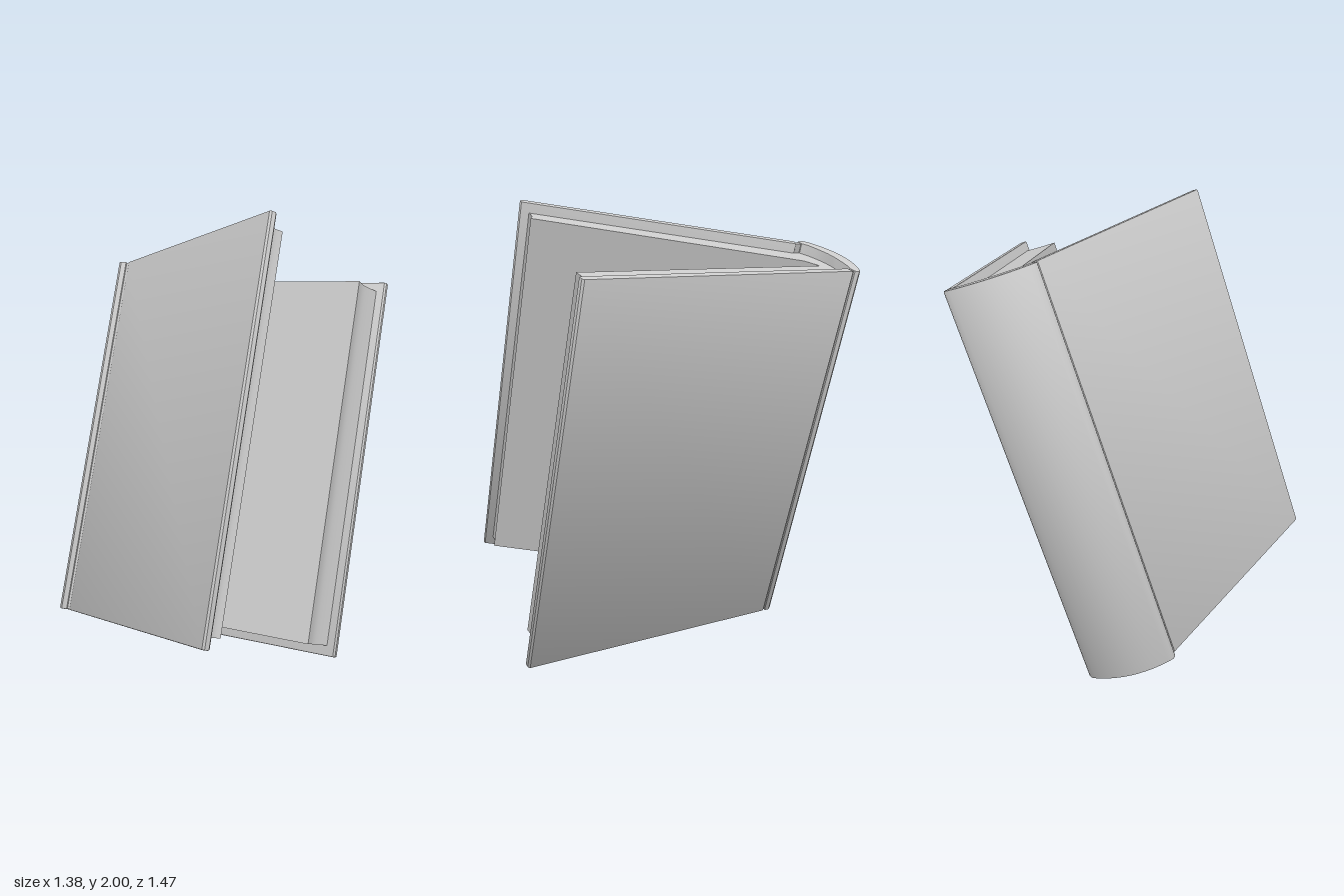
import * as THREE from 'three';
import { toCreasedNormals } from 'three/addons/utils/BufferGeometryUtils.js';

const TILT = -0.313;             // the whole book leans back
const BOTTOM = 0.061, TOP = 1.85; // extent of the boards along the spine

export function createModel() {
  const book = new THREE.Group();
  book.name = 'openBook';
  book.rotation.x = TILT;
  const material = new THREE.MeshStandardMaterial({ color: 0xcccccc });

  // Extrudes a plan outline of [x, z] points upward from y0 to y1
  function addPart(name, points, y0, y1, bevel = 0) {
    const shape = new THREE.Shape(points.map(([x, z]) => new THREE.Vector2(x, -z)));
    let geometry = new THREE.ExtrudeGeometry(shape, {
      depth: y1 - y0 - 2 * bevel,
      bevelEnabled: bevel > 0,
      bevelThickness: bevel,
      bevelSize: bevel,
      bevelOffset: -bevel,
      bevelSegments: 2,
    });
    geometry.rotateX(-Math.PI / 2);
    geometry.translate(0, y0 + bevel, 0);
    geometry = toCreasedNormals(geometry, 0.6);
    const mesh = new THREE.Mesh(geometry, material);
    mesh.name = name;
    book.add(mesh);
  }

  // Smooth curve through a few plan points
  const smooth = (points, n) =>
    new THREE.SplineCurve(points.map(([x, z]) => new THREE.Vector2(x, z)))
      .getPoints(n).map((p) => [p.x, p.y]);

  // Board outline from its outer hinge corner, opened by an angle; sign points inward
  function board(x, z, length, angle, sign) {
    const t = 0.036, r = 0.008;
    const c = Math.cos(angle), s = Math.sin(angle);
    return [[0, 0], [length - r, 0], [length, r], [length, t - r], [length - r, t], [0, t]]
      .map(([a, b]) => [x + a * c - sign * b * s, z + a * s + sign * b * c]);
  }

  // Hard covers
  addPart('backCover', board(-0.59, -0.178, 1.28, 0, 1), BOTTOM, TOP, 0.006);
  addPart('frontCover', board(-0.573, 0.207, 1.23, 0.499, -1), BOTTOM, TOP, 0.006);

  // Rounded spine
  const outer = smooth([[-0.6, -0.178], [-0.635, -0.172], [-0.675, -0.081], [-0.69, 0.018],
    [-0.675, 0.117], [-0.63, 0.207], [-0.59, 0.207]], 18);
  const inner = smooth([[-0.588, 0.175], [-0.607, 0.15], [-0.627, 0.06], [-0.629, 0.018],
    [-0.627, -0.025], [-0.612, -0.115], [-0.6, -0.143]], 12);
  addPart('spine', [...outer, ...inner], BOTTOM, TOP, 0.006);

  // Recessed hinge strips between spine and covers
  addPart('backHinge', [[-0.612, -0.17], [-0.575, -0.17], [-0.575, -0.146], [-0.612, -0.146]],
    BOTTOM + 0.004, TOP - 0.004);
  addPart('frontHinge', [[-0.605, 0.18], [-0.56, 0.18], [-0.56, 0.2], [-0.605, 0.2]],
    BOTTOM + 0.004, TOP - 0.004);

  // Page block split into two leaves, with hollow fore edges and a rounded back
  const backForeEdge = smooth([[0.65, -0.15], [0.628, -0.09], [0.615, -0.04], [0.616, 0.012]], 8);
  const frontForeEdge = smooth([[0.51, 0.667], [0.49, 0.7], [0.485, 0.744]], 6);
  const pageBack = smooth([[-0.562, 0.18], [-0.592, 0.172], [-0.622, 0.09], [-0.632, 0.018],
    [-0.622, -0.06], [-0.598, -0.15]], 12);
  addPart('pages', [...backForeEdge, [-0.573, 0.012], [-0.537, 0.074], ...frontForeEdge,
    ...pageBack], BOTTOM + 0.047, TOP - 0.045);

  const model = new THREE.Group();
  model.name = 'book';
  model.add(book);
  return model;
}
